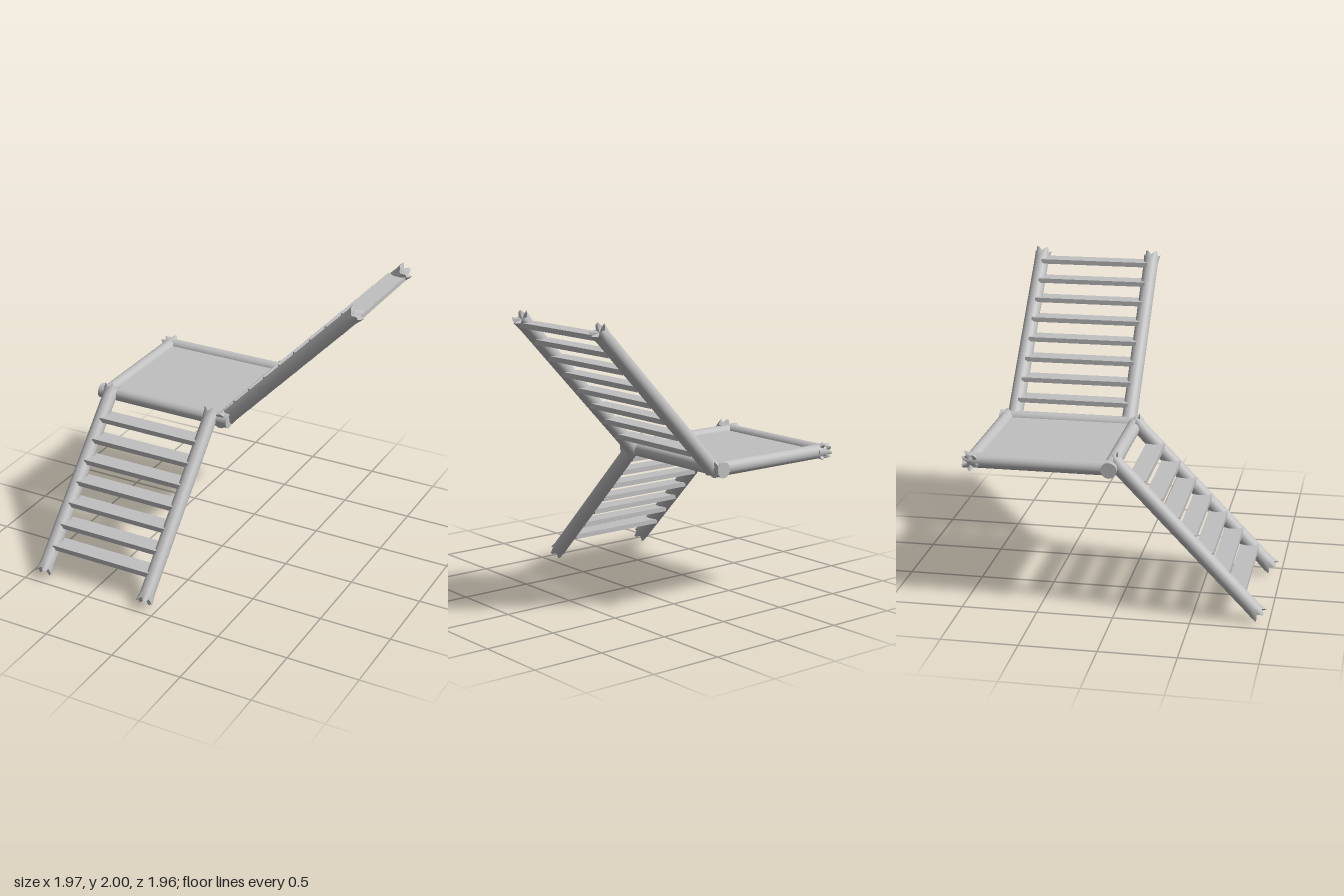
import * as THREE from 'three';

const wood = new THREE.MeshStandardMaterial({ color: 0xc0c0c0 });
wood.name = 'plain grey wood';
const V = (x, y, z) => new THREE.Vector3(x, y, z);

// Round log from a to b; each end is either sawn flat and slightly flared, or splintered.
function log(name, a, b, radius, jagA, jagB) {
  const dir = b.clone().sub(a);
  const len = dir.length();
  const geo = new THREE.CylinderGeometry(radius, radius, len, 20, 3);
  const p = geo.attributes.position;
  for (let i = 0; i < p.count; i++) {
    const x = p.getX(i), y = p.getY(i), z = p.getZ(i);
    const side = Math.sign(y);
    const r = Math.hypot(x, z);
    if (Math.abs(y) < len / 2 - 1e-4) {
      p.setY(i, side * (len / 2 - 0.06)); // inner rings sit close to the ends
      continue;
    }
    const jagged = side < 0 ? jagA : jagB;
    if (r < 1e-5) {
      if (jagged) p.setY(i, y - side * 0.02);
      continue;
    }
    const wave = Math.cos(Math.atan2(z, x) * 5 + 0.4);
    const k = jagged ? 1.04 + 0.16 * wave : 1.08;
    p.setXYZ(i, x * k, y + (jagged ? side * 0.016 * wave : 0), z * k);
  }
  geo.computeVertexNormals();
  // Keep the seam of the round side smooth
  const n = geo.attributes.normal;
  for (let row = 0; row < 4; row++) {
    const s = row * 21, e = s + 20;
    const m = V(n.getX(s) + n.getX(e), n.getY(s) + n.getY(e), n.getZ(s) + n.getZ(e)).normalize();
    n.setXYZ(s, m.x, m.y, m.z);
    n.setXYZ(e, m.x, m.y, m.z);
  }
  const mesh = new THREE.Mesh(geo, wood);
  mesh.name = name;
  mesh.position.copy(a).add(b).multiplyScalar(0.5);
  mesh.quaternion.setFromUnitVectors(V(0, 1, 0), dir.normalize());
  return mesh;
}

function board(name, w, h, d, x, y, z) {
  const mesh = new THREE.Mesh(new THREE.BoxGeometry(w, h, d), wood);
  mesh.name = name;
  mesh.position.set(x, y, z);
  return mesh;
}

export function createModel() {
  const model = new THREE.Group();
  model.name = 'logStairs';

  // Square landing framed by four logs
  const landing = new THREE.Group();
  landing.name = 'landing';
  landing.add(
    log('frontLog', V(-0.98, 0.99, -0.025), V(0.04, 0.99, -0.025), 0.048, false, false),
    log('backLog', V(-0.975, 0.99, -0.92), V(0.03, 0.99, -0.92), 0.048, true, false),
    log('rightLog', V(-0.925, 0.99, -0.965), V(-0.925, 0.99, 0), 0.048, true, false),
    log('leftLog', V(-0.015, 0.99, -0.97), V(-0.015, 0.99, 0.01), 0.048, false, false),
    board('landingFloor', 0.91, 0.03, 0.895, -0.47, 0.99, -0.4725)
  );
  model.add(landing);

  // Lower flight, descending towards the front
  const lower = new THREE.Group();
  lower.name = 'lowerFlight';
  for (const x of [-0.885, -0.09]) {
    lower.add(log('lowerRail', V(x, 0.045, 0.93), V(x, 1.035, -0.02), 0.05, true, true));
  }
  for (let i = 0; i < 7; i++) {
    const y = 0.19 + i * 0.1145;
    const z = 0.93 - (y - 0.045) * 0.95;
    lower.add(board('lowerStep', 0.76, 0.034, 0.125, -0.4875, y, z - 0.01));
  }
  model.add(lower);

  // Upper flight, climbing towards the left
  const upper = new THREE.Group();
  upper.name = 'upperFlight';
  for (const z of [-0.075, -0.875]) {
    upper.add(log('upperRail', V(0, 0.985, z), V(0.925, 1.955, z), 0.051, false, true));
  }
  for (let i = 0; i < 8; i++) {
    const y = 1.1 + i * 0.1155;
    const x = (y - 0.985) * 0.953;
    upper.add(board('upperStep', 0.13, 0.032, 0.77, x - 0.005, y, -0.475));
  }
  model.add(upper);

  return model;
}
